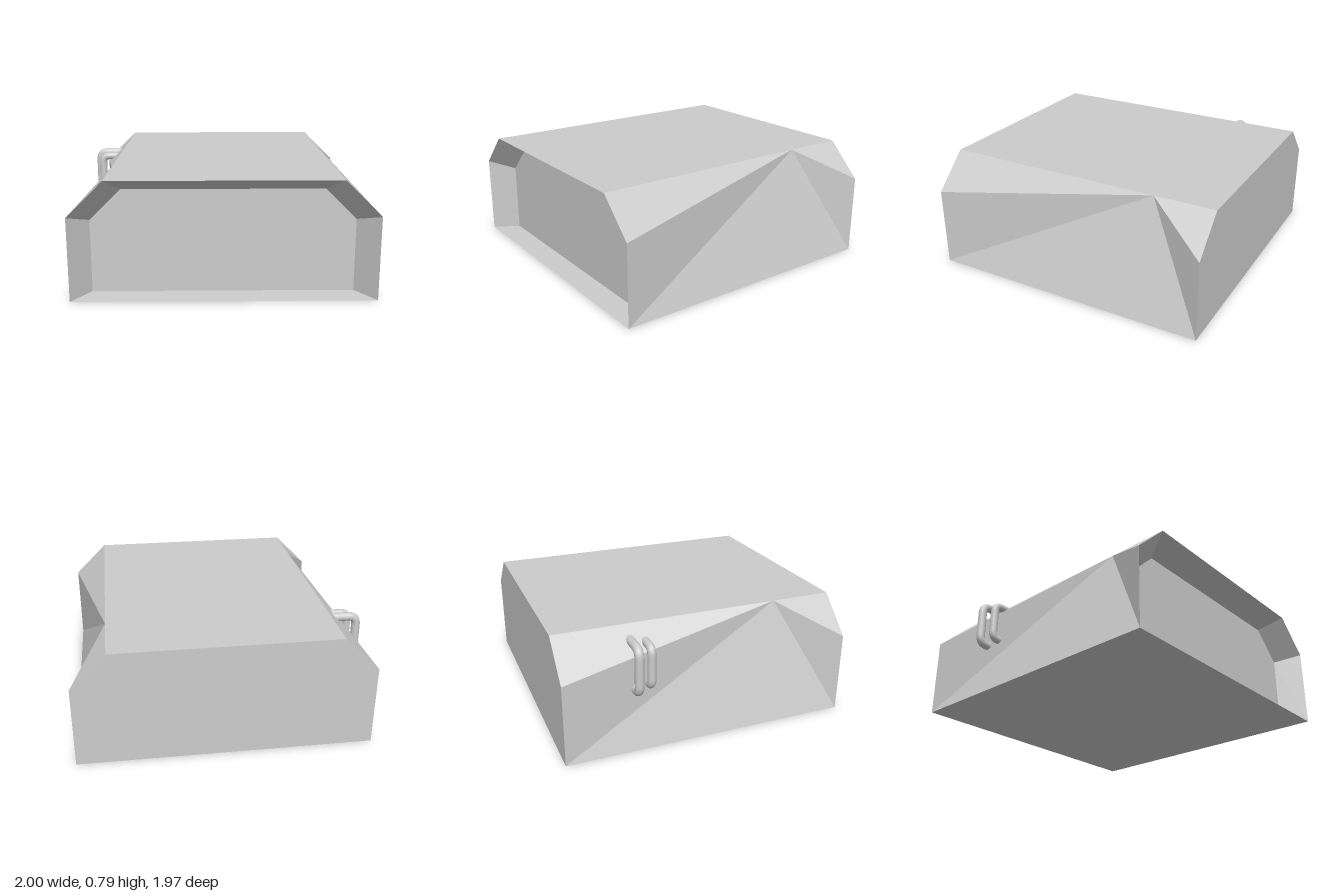
import * as THREE from 'three';

const material = new THREE.MeshStandardMaterial({ color: 0xcccccc, side: THREE.DoubleSide });
const v = (x, y, z) => new THREE.Vector3(x, y, z);

// Box outline with chamfered shoulders, counter-clockwise seen from the front
function outline(x0, x1, yBase, yShoulder, yTop, chamfer, z) {
  return [
    v(x1, yBase, z), v(x1, yShoulder, z), v(x1 - chamfer, yTop, z),
    v(x0 + chamfer, yTop, z), v(x0, yShoulder, z), v(x0, yBase, z),
  ];
}

// Quads between two outlines, along the listed edges
function strip(p, q, edges) {
  return edges.flatMap((i) => {
    const j = (i + 1) % p.length;
    return [p[i], p[j], q[j], p[i], q[j], q[i]];
  });
}

// Triangle fan that closes an outline
function cap(ring) {
  return ring.slice(2).flatMap((point, i) => [ring[0], ring[i + 1], point]);
}

// Side wall folded inwards to one point on the top edge
function foldedSide(back, front) {
  const [backFoot, backShoulder, backTop] = back;
  const [frontFoot, frontShoulder, frontTop] = front;
  const fold = backTop.clone().lerp(frontTop, 0.215);
  return [
    backShoulder, backTop, fold,
    fold, frontTop, frontShoulder,
    frontShoulder, frontFoot, fold,
    backFoot, backShoulder, fold,
    backFoot, fold, frontFoot,
  ];
}

// Housing: folded sides, flat top, base and back, bevelled recess in the front
function housing() {
  const back = outline(-0.975, 1, 0, 0.555, 0.79, 0.238, -0.987);
  const front = outline(-0.975, 1, 0, 0.555, 0.79, 0.238, 0.987);
  const recess = outline(-0.855, 0.872, 0.008, 0.497, 0.7, 0.206, 0.822);
  const points = [
    ...cap([...back].reverse()),
    ...strip(back, front, [2, 5]),
    ...strip(front, recess, [0, 1, 2, 3, 4, 5]),
    ...cap(recess),
    ...foldedSide(back, front),
    // the other side is the same wall turned half round
    ...foldedSide([...front].reverse(), [...back].reverse()),
  ];
  const geometry = new THREE.BufferGeometry().setFromPoints(points);
  geometry.computeVertexNormals();
  const mesh = new THREE.Mesh(geometry, material);
  mesh.name = 'housing';
  return mesh;
}

// Round bar bent into a C: out of the shoulder, down, and back into the side
function bentBar(name, z, xOut, yTop, yLow, radius, bend) {
  const path = new THREE.CurvePath();
  const corner = (y, inward) => path.add(new THREE.QuadraticBezierCurve3(
    ...(inward
      ? [v(xOut, y + bend, z), v(xOut, y, z), v(xOut + bend, y, z)]
      : [v(xOut + bend, y, z), v(xOut, y, z), v(xOut, y - bend, z)]),
  ));
  path.add(new THREE.LineCurve3(v(-0.76, yTop, z), v(xOut + bend, yTop, z)));
  corner(yTop, false);
  path.add(new THREE.LineCurve3(v(xOut, yTop - bend, z), v(xOut, yLow + bend, z)));
  corner(yLow, true);
  path.add(new THREE.LineCurve3(v(xOut + bend, yLow, z), v(-0.86, yLow, z)));
  const mesh = new THREE.Mesh(new THREE.TubeGeometry(path, 64, radius, 16, false), material);
  mesh.name = name;
  return mesh;
}

export function createModel() {
  const model = new THREE.Group();
  model.name = 'chamferedHousing';
  model.add(housing());

  // Pair of bent bars on the side
  const handle = new THREE.Group();
  handle.name = 'handle';
  handle.add(
    bentBar('outerBar', -0.493, -0.97, 0.706, 0.405, 0.03, 0.06),
    bentBar('innerBar', -0.398, -0.935, 0.69, 0.425, 0.028, 0.05),
  );
  model.add(handle);

  return model;
}
